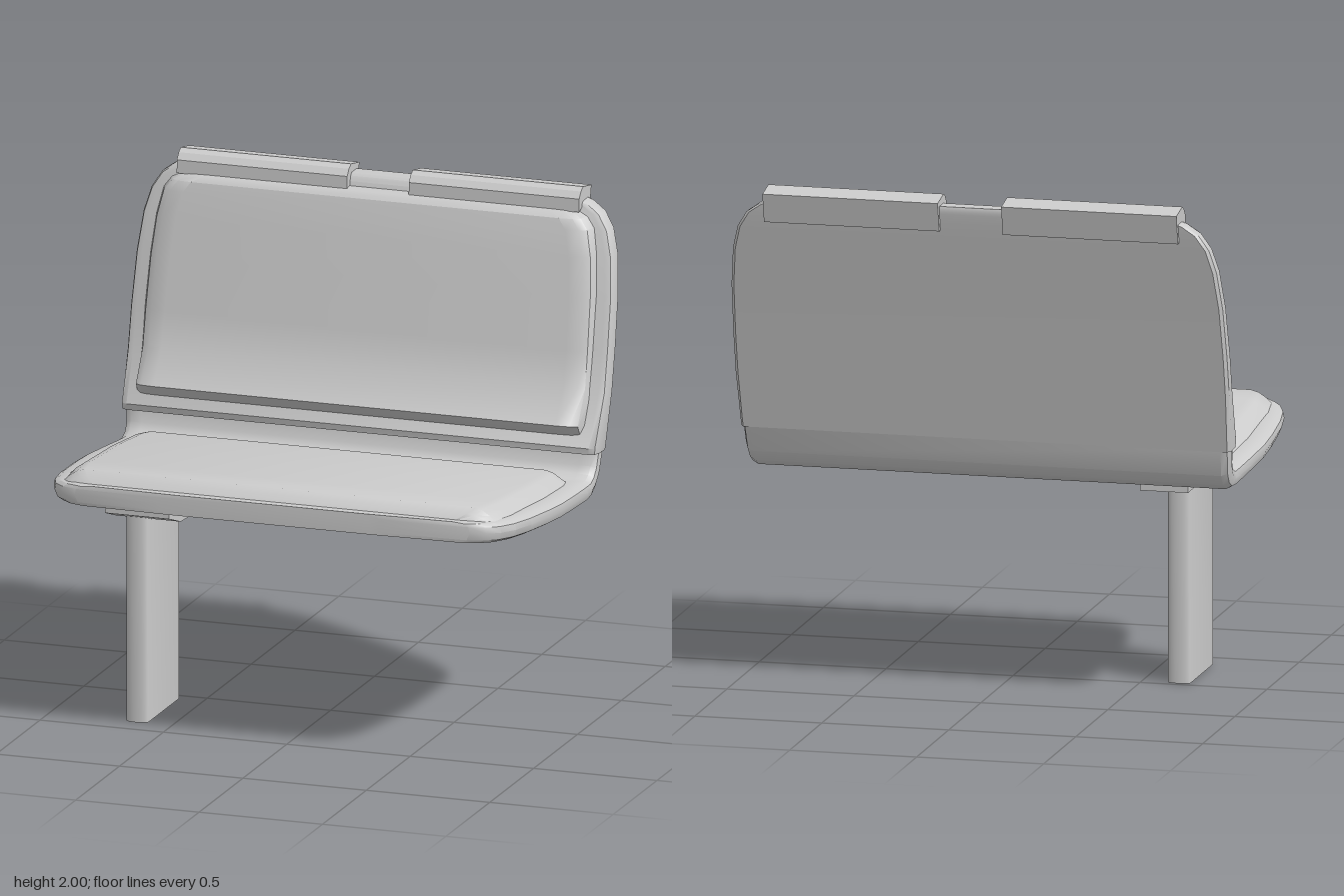
import * as THREE from 'three';
import { toCreasedNormals } from 'three/addons/utils/BufferGeometryUtils.js';

const material = new THREE.MeshStandardMaterial({ color: 0xcccccc });

function addMesh(group, name, geometry) {
  const mesh = new THREE.Mesh(geometry, material);
  mesh.name = name;
  group.add(mesh);
}

// Closed loft. Station: [faceZ, faceY, rearZ, rearY, halfWidth].
// Edge: [inset from the half width, fraction from face to rear], mirrored in x.
function loft(stations, edge) {
  const rings = stations.map(([fz, fy, rz, ry, w]) => {
    const side = edge.map(([inset, t]) => [w - inset, fy + (ry - fy) * t, fz + (rz - fz) * t]);
    return [...side, ...side.map(([x, y, z]) => [-x, y, z]).reverse()];
  });
  const n = rings[0].length;
  const positions = [];
  const tri = (a, b, c) => positions.push(...a, ...b, ...c);
  for (let i = 0; i < rings.length - 1; i++) {
    for (let j = 0; j < n; j++) {
      const k = (j + 1) % n;
      tri(rings[i][j], rings[i][k], rings[i + 1][k]);
      tri(rings[i][j], rings[i + 1][k], rings[i + 1][j]);
    }
  }
  const first = rings[0], last = rings[rings.length - 1];
  for (let j = 1; j < n - 1; j++) {
    tri(first[0], first[j + 1], first[j]);
    tri(last[0], last[j], last[j + 1]);
  }
  const geometry = new THREE.BufferGeometry();
  geometry.setAttribute('position', new THREE.Float32BufferAttribute(positions, 3));
  return toCreasedNormals(geometry, 0.6);
}

// Side profile of [z, y] points extruded from x0 to x1.
function extrudeX(profile, x0, x1) {
  const shape = new THREE.Shape(profile.map(([z, y]) => new THREE.Vector2(-z, y)));
  const geometry = new THREE.ExtrudeGeometry(shape, { depth: x1 - x0, bevelEnabled: false });
  return geometry.rotateY(Math.PI / 2).translate(x0, 0, 0);
}

const seatTop = (z) => 0.93 + (z + 0.23) * 0.077;
const seatBottom = (z) => 0.84 + (z + 0.28) * 0.083;

export function createModel() {
  const group = new THREE.Group();
  group.name = 'benchSeat';

  // Seat shell, bending up at the rear
  const plan = [[0.68, 0.45], [0.668, 0.8], [0.645, 0.86], [0.6, 0.905], [0.52, 0.937],
    [0.4, 0.957], [0.22, 0.971], [0.08, 0.975], [-0.1, 0.966]];
  const shellEdge = [[0.07, 0], [0.025, 0.05], [0.005, 0.2], [0, 0.5], [0.012, 0.85], [0.035, 1]];
  addMesh(group, 'seatShell', loft([
    ...plan.map(([z, w]) => [z, seatTop(z), z, seatBottom(z), w]),
    [-0.23, 0.93, -0.26, 0.842, 0.957],
    [-0.285, 0.927, -0.325, 0.847, 0.955],
    [-0.318, 0.94, -0.37, 0.872, 0.955],
    [-0.338, 0.968, -0.405, 0.915, 0.957],
    [-0.35, 1.03, -0.435, 1.02, 0.962],
  ], shellEdge));

  // Backrest shell with a forward kink near the bottom
  const backEdge = [[0.03, 0], [0.008, 0.08], [0, 0.3], [0, 0.85], [0.012, 1]];
  addMesh(group, 'backrestShell', loft([
    [-0.31, 1.02, -0.435, 1.015, 0.964],
    [-0.305, 1.045, -0.442, 1.045, 0.966],
    [-0.4, 1.24, -0.487, 1.24, 0.972],
    [-0.437, 1.4, -0.523, 1.4, 0.972],
    [-0.488, 1.6, -0.57, 1.6, 0.967],
    [-0.525, 1.75, -0.607, 1.75, 0.952],
    [-0.55, 1.84, -0.629, 1.84, 0.928],
    [-0.564, 1.9, -0.643, 1.9, 0.89],
    [-0.573, 1.935, -0.65, 1.935, 0.84],
    [-0.58, 1.955, -0.653, 1.955, 0.78],
    [-0.59, 1.965, -0.65, 1.965, 0.7],
  ], backEdge));

  // Seat cushion, following the slope of the shell
  const pad = [[0.63, 0, 0.82], [0.61, 0.025, 0.86], [0.58, 0.045, 0.88], [0.45, 0.05, 0.9],
    [0.1, 0.05, 0.91], [-0.15, 0.048, 0.9], [-0.2, 0.045, 0.89], [-0.235, 0, 0.88]];
  addMesh(group, 'seatCushion', loft(
    pad.map(([z, h, w]) => [z, seatTop(z) + h, z, seatTop(z) - 0.01, w]),
    [[0.09, 0], [0.06, 0.15], [0.03, 0.5], [0, 1]]));

  // Back cushion with a lumbar bulge
  addMesh(group, 'backCushion', loft([
    [-0.325, 1.085, -0.37, 1.06, 0.91],
    [-0.268, 1.135, -0.37, 1.12, 0.913],
    [-0.362, 1.265, -0.42, 1.24, 0.914],
    [-0.393, 1.4, -0.45, 1.4, 0.913],
    [-0.437, 1.6, -0.5, 1.6, 0.908],
    [-0.47, 1.75, -0.537, 1.75, 0.896],
    [-0.492, 1.85, -0.562, 1.85, 0.875],
    [-0.503, 1.89, -0.572, 1.89, 0.845],
    [-0.53, 1.912, -0.578, 1.912, 0.8],
    [-0.555, 1.918, -0.58, 1.918, 0.76],
  ], [[0.1, 0], [0.045, 0.08], [0.018, 0.3], [0, 1]]));

  // Pair of caps hooked over the top of the backrest
  const cap = [[-0.538, 1.91], [-0.54, 1.962], [-0.56, 1.987], [-0.585, 2], [-0.68, 1.982],
    [-0.654, 1.868], [-0.632, 1.87], [-0.57, 1.92]];
  addMesh(group, 'rightTopCap', extrudeX(cap, -0.815, -0.125));
  addMesh(group, 'leftTopCap', extrudeX(cap, 0.125, 0.815));

  // Mounting bracket in two stepped plates under the seat
  addMesh(group, 'bracketWidePlate', extrudeX([[0.49, 0.9], [0.49, 0.845], [0.36, 0.8],
    [0.04, 0.797], [-0.2, 0.796], [-0.2, 0.85]], -0.74, -0.55));
  addMesh(group, 'bracketNarrowPlate', extrudeX([[0.49, 0.9], [0.49, 0.845], [0.36, 0.8],
    [0.04, 0.78], [-0.085, 0.8], [-0.085, 0.86]], -0.55, -0.48));

  // Flat post with rounded narrow edges
  const section = new THREE.Shape();
  section.moveTo(-0.045, -0.175);
  section.bezierCurveTo(-0.045, -0.2, 0.045, -0.2, 0.045, -0.175);
  section.lineTo(0.045, 0.175);
  section.bezierCurveTo(0.045, 0.2, -0.045, 0.2, -0.045, 0.175);
  const post = new THREE.ExtrudeGeometry(section, { depth: 0.85, bevelEnabled: false, curveSegments: 10 });
  post.rotateX(-Math.PI / 2).translate(-0.645, 0, 0.213);
  addMesh(group, 'post', toCreasedNormals(post, 0.8));

  return group;
}
